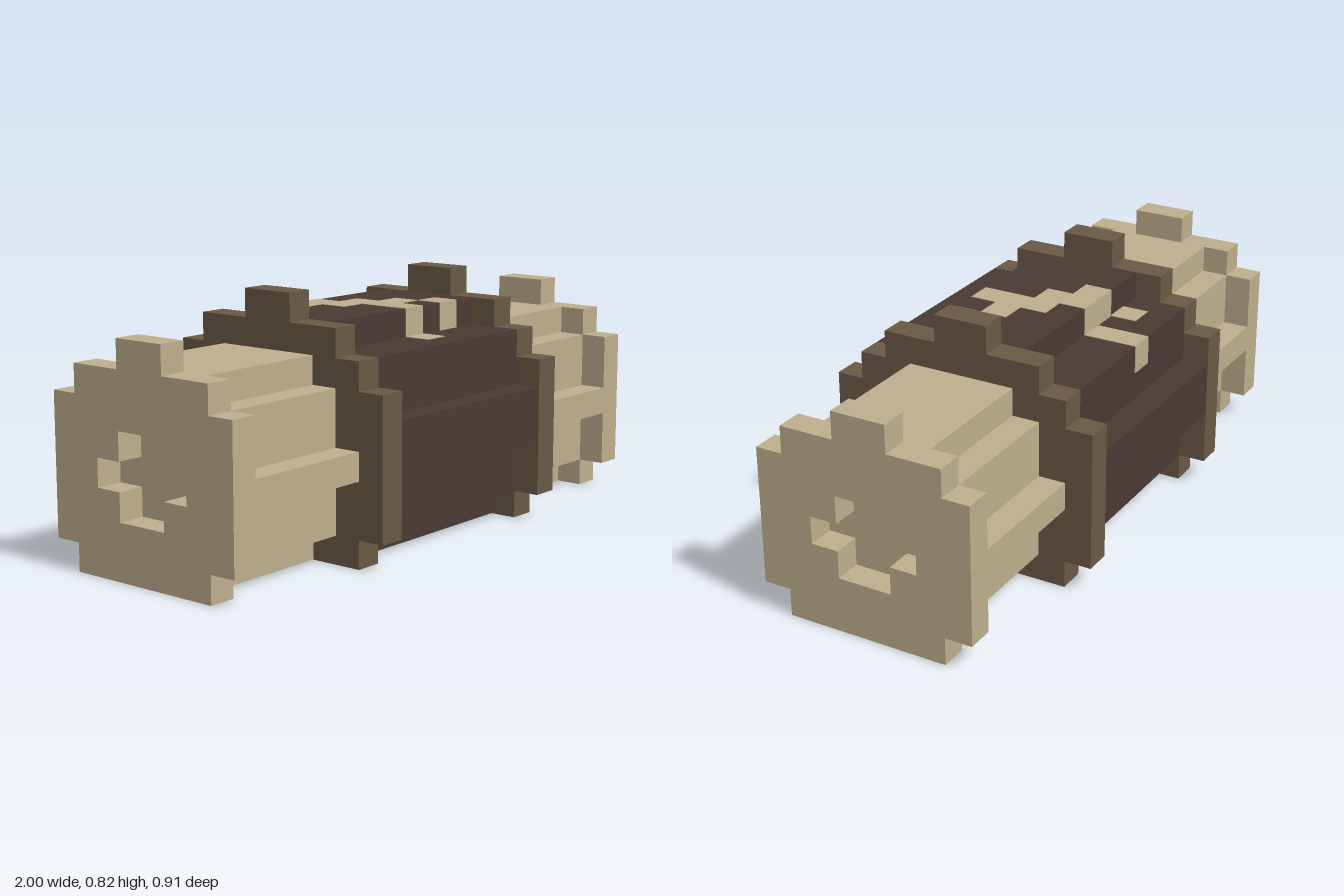
import * as THREE from 'three';

const U = 1 / 11; // one block

const mat = (name, color) => {
  const m = new THREE.MeshStandardMaterial({ color });
  m.name = name;
  return m;
};

// Stepped outline from [halfWidth, topHeight] bands, bottom to top, mirrored
function steppedPoints(bands, base = 0) {
  const right = [];
  let y = base;
  for (const [half, top] of bands) {
    right.push([half, y], [half, top]);
    y = top;
  }
  const left = right.map(([x, h]) => [-x, h]).reverse();
  return [...right, ...left].map(([x, h]) => new THREE.Vector2(x * U, h * U));
}

// Extrudes a stepped outline along x from x0 to x1 (in blocks)
function prism(bands, x0, x1, hole) {
  const shape = new THREE.Shape(steppedPoints(bands));
  if (hole) shape.holes.push(new THREE.Path(steppedPoints(hole, 2)));
  const geo = new THREE.ExtrudeGeometry(shape, { depth: (x1 - x0) * U, bevelEnabled: false });
  geo.rotateY(Math.PI / 2);
  geo.translate(x0 * U, 0, 0);
  return geo;
}

const SHAFT = [[2, 1], [3, 3], [4, 4], [3, 6], [2, 7]];
const CAP = [[3, 1], [4, 6], [3, 7], [1, 8]];
const SOCKET = [[1, 3], [2, 4], [1, 5]]; // plus-shaped recess
const RING = [[4, 1], [5, 6], [4, 7], [3, 8], [1, 9]];
const BARREL = [[3, 1], [4, 3], [5, 5], [4, 7], [2, 8]];

// Blocks of the zigzag mark: [x, z] of each block's low corner
const MARK = [
  [-1, -4], [-1, -3], [-3, -3], [-2, -2], [-1, -2], [-1, -1], [0, -1],
  [0, 0], [1, 0], [0, 1], [2, 1], [0, 2],
];

export function createModel() {
  const model = new THREE.Group();
  const tan = mat('tan', 0xbdae8c);
  const brown = mat('brown', 0x695945);
  const darkBrown = mat('dark brown', 0x4a3933);

  const add = (name, geo, material, parent = model) => {
    const mesh = new THREE.Mesh(geo, material);
    mesh.name = name;
    parent.add(mesh);
    return mesh;
  };

  // Central barrel
  add('barrel', prism(BARREL, -4, 4), darkBrown);

  // Ring, shaft and socketed cap on each side
  for (const [side, s] of [['left', 1], ['right', -1]]) {
    const span = (a, b) => (s > 0 ? [a, b] : [-b, -a]);
    add(side + 'Ring', prism(RING, ...span(4, 5)), brown);
    add(side + 'Shaft', prism(SHAFT, ...span(5, 10)), tan);
    add(side + 'Cap', prism(CAP, ...span(10, 11), SOCKET), tan);
  }

  // Zigzag mark: thin plates on the top faces and on exposed step faces
  const mark = new THREE.Group();
  mark.name = 'zigzagMark';
  model.add(mark);
  const T = 0.004;
  for (const [x, z] of MARK) {
    const top = z >= -2 && z < 2 ? 8 : 7;
    const flat = add('markTop', new THREE.BoxGeometry(U, T, U), tan, mark);
    flat.position.set((x + 0.5) * U, top * U, (z + 0.5) * U);

    const edge = { '-4': -4, '-2': -2, '1': 2, '3': 4 }[z];
    if (edge === undefined) continue;
    const riser = add('markSide', new THREE.BoxGeometry(U, U, T), tan, mark);
    riser.position.set((x + 0.5) * U, (top - 0.5) * U, edge * U);
  }
  return model;
}
